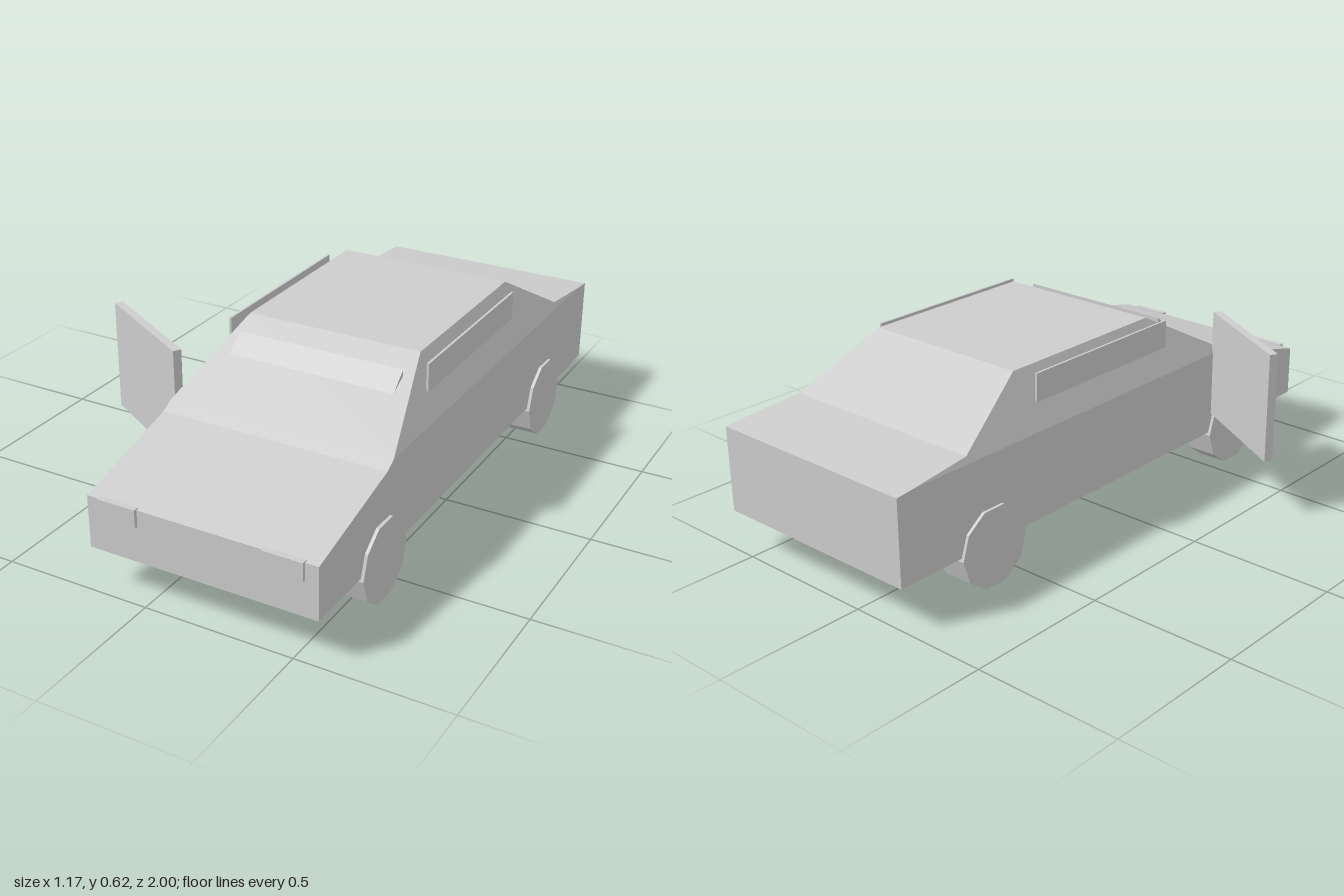
import * as THREE from 'three';

const CX = 0.188;      // centre line of the car
const HALF = 0.386;    // half width of the lower body
const SHOULDER = 0.436, ROOF = 0.62, ROOF_HALF = 0.301;

// Body lofted through cross-sections; sides lean inwards above the shoulder
function bodyGeometry() {
  const stations = [ // z, top height
    [0.985, 0.315], [0.59, 0.413], [0.55, SHOULDER], [0.215, ROOF],
    [-0.43, ROOF], [-0.715, 0.457], [-0.94, SHOULDER], [-1, 0.43],
  ];
  const rings = stations.map(([z, top]) => {
    const s = Math.min(top, SHOULDER);
    const w = HALF - (HALF - ROOF_HALF) * (top - s) / (ROOF - SHOULDER);
    const half = [[HALF, 0.14], [HALF, s], [w, top]];
    const mirrored = half.map(([x, y]) => [-x, y]).reverse();
    return [...half, ...mirrored].map(([x, y]) => new THREE.Vector3(CX + x, y, z));
  });
  const points = [];
  const tri = (a, b, c) => {
    if (new THREE.Triangle(a, b, c).getArea() > 1e-7) points.push(a, b, c);
  };
  for (let k = 0; k < rings.length - 1; k++) {
    const a = rings[k], b = rings[k + 1];
    for (let i = 0; i < 6; i++) {
      const j = (i + 1) % 6;
      tri(a[i], b[i], b[j]);
      tri(a[i], b[j], a[j]);
    }
  }
  const front = rings[0], back = rings[rings.length - 1];
  for (let i = 1; i < 5; i++) {
    tri(front[0], front[i], front[i + 1]);
    tri(back[0], back[i + 1], back[i]);
  }
  const g = new THREE.BufferGeometry().setFromPoints(points);
  g.computeVertexNormals();
  return g;
}

export function createModel() {
  const car = new THREE.Group();
  car.name = 'car';
  const grey = new THREE.MeshStandardMaterial({ color: 0xcccccc, flatShading: true });
  grey.name = 'plain grey';

  const add = (name, geometry, x = 0, y = 0, z = 0) => {
    const mesh = new THREE.Mesh(geometry, grey);
    mesh.name = name;
    mesh.position.set(x, y, z);
    car.add(mesh);
    return mesh;
  };

  add('body', bodyGeometry());

  // Ten-sided wheels with a flat at the bottom
  const wheel = new THREE.CylinderGeometry(0.1365, 0.1365, 0.107, 10);
  wheel.rotateY(Math.PI / 2).rotateZ(Math.PI / 2);
  wheel.rotateX(Math.PI / 2);
  // Bring a flat, rather than a corner, onto the ground
  wheel.computeBoundingBox();
  if (wheel.boundingBox.max.y > 0.133) wheel.rotateX(Math.PI / 2);

  for (const side of [1, -1]) {
    const label = side > 0 ? 'left' : 'right';
    add(label + 'FrontWheel', wheel, CX + side * 0.343, 0.13, 0.61);
    add(label + 'RearWheel', wheel, CX + side * 0.343, 0.13, -0.623);
    add(label + 'Headlight', new THREE.BoxGeometry(0.132, 0.06, 0.02), CX + side * 0.277, 0.29, 0.987);
    add(label + 'SideWindow', new THREE.BoxGeometry(0.008, 0.095, 0.64), CX + side * 0.348, 0.5625, -0.06);
  }

  // Windscreen wedge standing slightly proud of the front slope
  const wedge = new THREE.Shape([
    new THREE.Vector2(-0.365, 0.537), new THREE.Vector2(-0.302, 0.537),
    new THREE.Vector2(-0.302, 0.593),
  ]);
  const screen = new THREE.ExtrudeGeometry(wedge, { depth: 0.574, bevelEnabled: false });
  screen.rotateY(Math.PI / 2);
  add('windscreen', screen, CX - 0.287, 0, 0);

  // Open door hinged at the front of the right side
  const door = add('openDoor', new THREE.BoxGeometry(0.442, 0.375, 0.028), -0.389, 0.3975, 0.395);
  door.rotation.y = -Math.PI / 6;

  return car;
}
